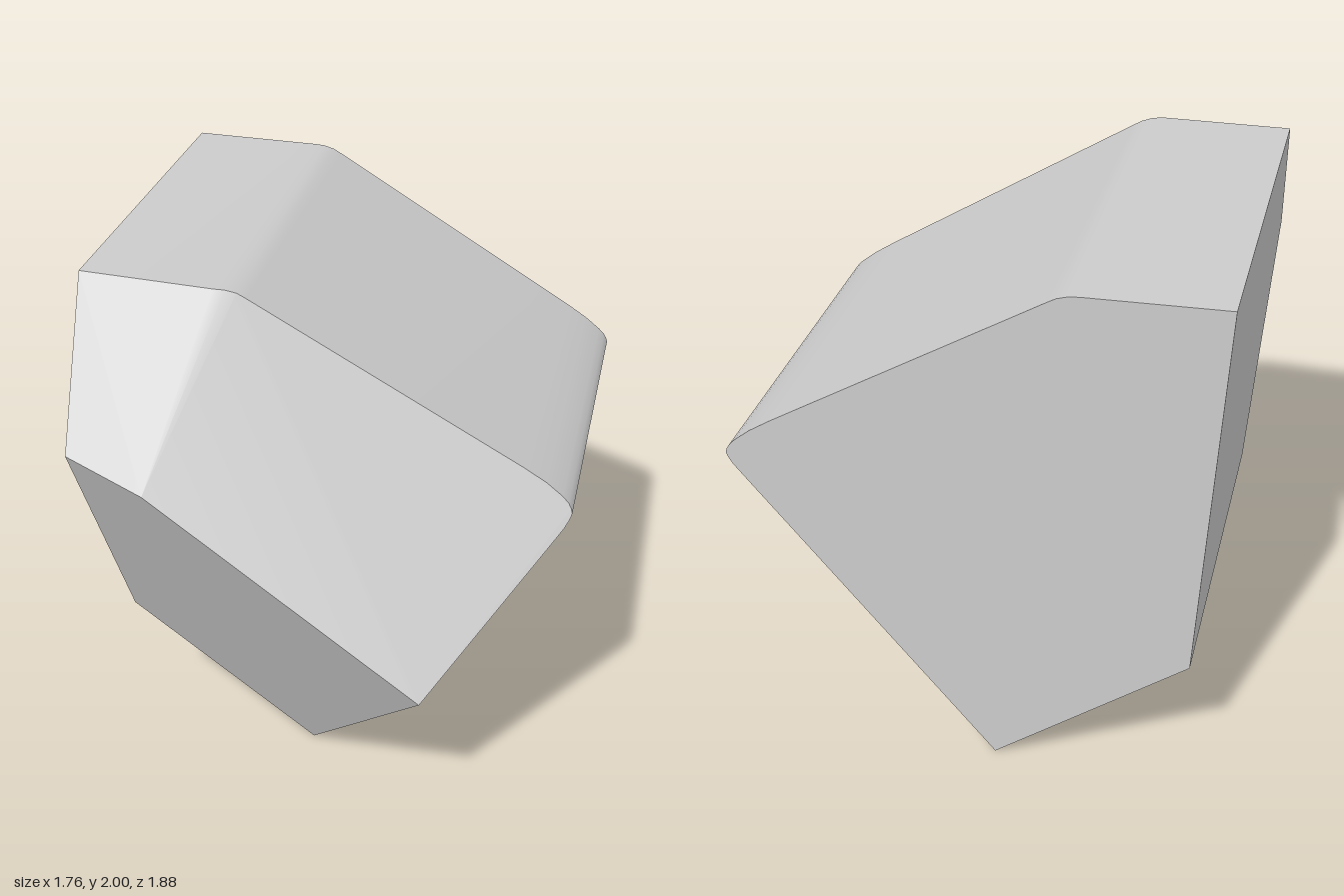
import * as THREE from 'three';
import { ConvexGeometry } from 'three/addons/geometries/ConvexGeometry.js';
import { toCreasedNormals } from 'three/addons/utils/BufferGeometryUtils.js';

const BACK = -0.94;

// Outline of the block seen from the front, clockwise from the top left,
// with two softly rounded corners
const outline = [
  [-0.88, 2], [-0.39, 1.987], [-0.35, 1.984], [-0.31, 1.972], [-0.28, 1.955],
  [0.7, 1.363], [0.78, 1.311], [0.84, 1.263], [0.862, 1.24], [0.873, 1.222],
  [0.878, 1.205], [0.872, 1.188], [0.855, 1.159], [0.8, 1.091],
  [-0.09, 0], [-0.805, 0.555],
];

// Points where the front facets meet along the ridge
const ridge = [[-0.852, 1.45], [-0.56, 1.36], [0.42, 0.625]];

// Depth of the faceted front: the nearest-cutting of three planes
function frontDepth(x, y) {
  const d = 0.6 * x + 0.8 * y - 0.752;
  const cornerFacet = 0.94 + 0.032 * (x + 0.56) - 0.617 * (y - 1.36);
  return Math.min(0.94 - 0.62 * Math.abs(d), cornerFacet);
}

export function createModel() {
  const group = new THREE.Group();
  group.name = 'facetedBlock';

  // Solid block: flat back, straight sides, bevelled front
  const points = [];
  for (const [x, y] of outline) {
    points.push(new THREE.Vector3(x, y, BACK));
    points.push(new THREE.Vector3(x, y, frontDepth(x, y)));
  }
  for (const [x, y] of ridge) points.push(new THREE.Vector3(x, y, frontDepth(x, y)));

  const block = new THREE.Mesh(
    toCreasedNormals(new ConvexGeometry(points), 0.3),
    new THREE.MeshStandardMaterial({ color: 0xcccccc }),
  );
  block.name = 'block';
  group.add(block);
  return group;
}
